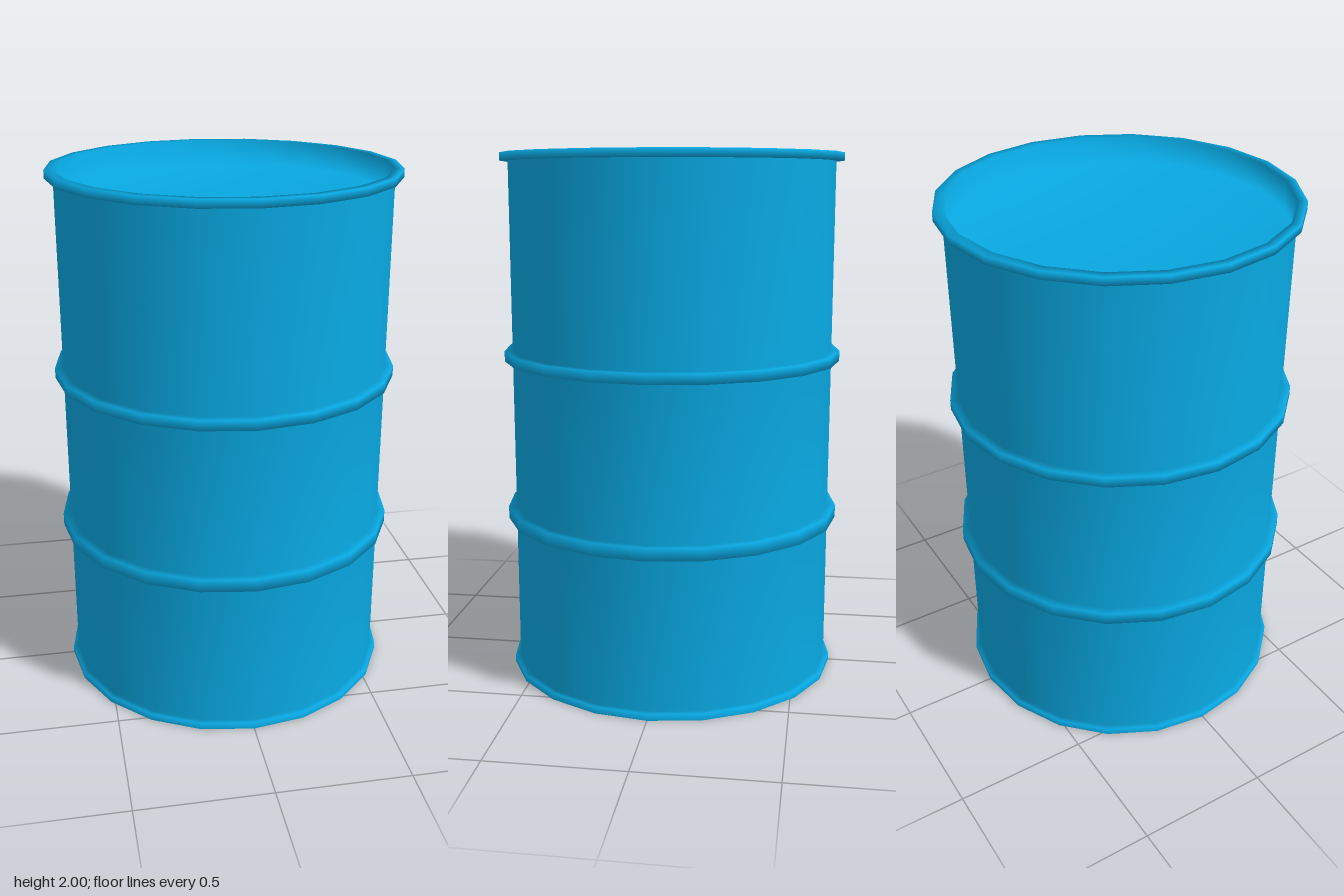
import * as THREE from 'three';

const SIDES = 20;
const BODY_R = 0.617;
const HOOP_R = 0.648;
const FOOT_R = 0.638;
const INNER_R = 0.613;
const LID_Y = 1.9;

export function createModel() {
  const drum = new THREE.Group();
  drum.name = 'drum';
  const paint = new THREE.MeshStandardMaterial({ color: 0x08a8e2 });

  // Revolve a profile of [radius, height] points, listed from the bottom outwards
  const revolve = (name, profile) => {
    const points = profile.map(([r, y]) => new THREE.Vector2(r, y));
    const mesh = new THREE.Mesh(new THREE.LatheGeometry(points, SIDES), paint);
    mesh.name = name;
    drum.add(mesh);
  };

  // Raised band in the wall, from low to high
  const band = (r, low, high) => [[BODY_R, low], [r, low], [r, high], [BODY_R, high]];

  // Flat base
  revolve('base', [[0, 0], [FOOT_R, 0]]);

  // Wall with bottom rim and two rolling hoops, shaded softly into each other
  revolve('body', [
    [FOOT_R, 0], [FOOT_R, 0.026], [BODY_R, 0.026],
    ...band(HOOP_R, 0.6, 0.648),
    ...band(HOOP_R, 1.221, 1.26),
    [BODY_R, 1.97],
  ]);

  // Top rim running over into the recessed lid
  revolve('rimAndLid', [
    [BODY_R, 1.97], [HOOP_R, 1.97], [HOOP_R, 2], [INNER_R, 2],
    [INNER_R, LID_Y], [0, LID_Y],
  ]);

  return drum;
}
